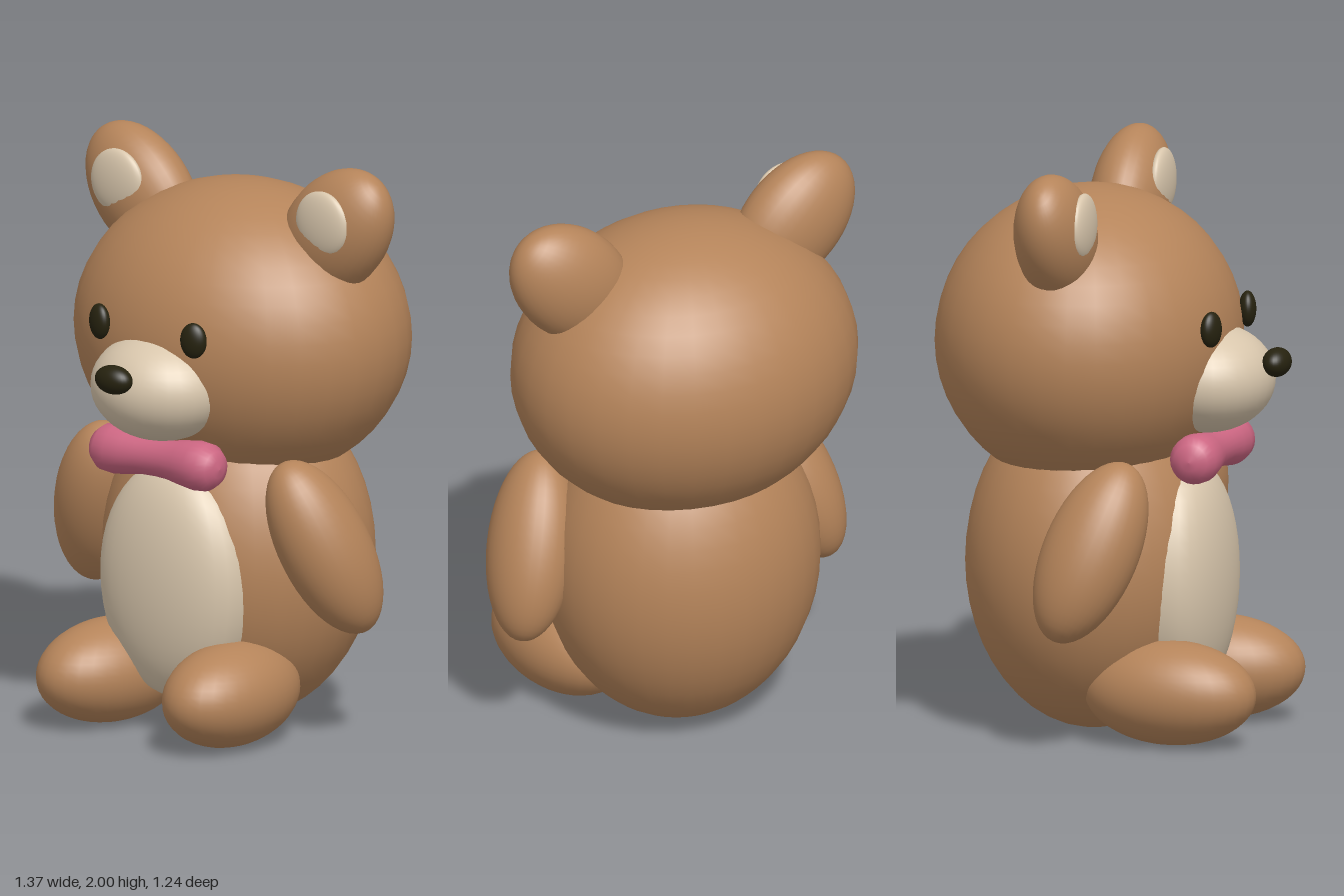
import * as THREE from 'three';

const mat = (name, color) => {
  const m = new THREE.MeshStandardMaterial({ color });
  m.name = name;
  return m;
};

export function createModel() {
  const bear = new THREE.Group();
  bear.name = 'teddyBear';
  const fur = mat('brownFur', 0xb5845a);
  const cream = mat('creamFur', 0xd8c6ac);
  const pink = mat('pinkBow', 0xcc6682);
  const dark = mat('darkBrown', 0x26220f);

  const sphere = new THREE.SphereGeometry(1, 32, 24);

  // Smooth ellipsoid part
  function blob(name, material, pos, radii, geometry = sphere) {
    const mesh = new THREE.Mesh(geometry, material);
    mesh.name = name;
    mesh.position.set(...pos);
    mesh.scale.set(...radii);
    bear.add(mesh);
    return mesh;
  }

  // Head and body
  blob('head', fur, [0, 1.36, -0.1], [0.62, 0.52, 0.52]);
  blob('body', fur, [0, 0.595, -0.08], [0.49, 0.59, 0.44]);

  // Belly panel: a sphere with its front and back flattened
  const bellyShape = sphere.clone();
  const p = bellyShape.attributes.position;
  for (let i = 0; i < p.count; i++) {
    const z = p.getZ(i);
    p.setZ(i, Math.sign(z) * Math.pow(Math.abs(z), 0.7));
  }
  bellyShape.computeVertexNormals();
  blob('belly', cream, [0, 0.54, 0.2], [0.315, 0.42, 0.21], bellyShape);

  // Muzzle and nose
  blob('muzzle', cream, [0, 1.235, 0.325], [0.25, 0.187, 0.23]);
  blob('nose', dark, [0, 1.3, 0.57], [0.075, 0.05, 0.048]);

  // Mirrored parts: s = 1 is the left side
  const up = new THREE.Vector3(0, 1, 0);
  for (const s of [1, -1]) {
    const side = s > 0 ? 'left' : 'right';

    const ear = blob(side + 'Ear', fur, [s * 0.44, 1.77, -0.085], [0.19, 0.27, 0.135]);
    ear.rotation.z = -s * Math.PI / 4;
    blob(side + 'InnerEar', cream, [s * 0.465, 1.82, 0.02], [0.115, 0.115, 0.036]);

    const eye = blob(side + 'Eye', dark, [s * 0.213, 1.44, 0.4], [0.048, 0.062, 0.03]);
    eye.rotation.y = s * 0.3;

    // Arms hang outward and back from the shoulder
    const arm = blob(side + 'Arm', fur, [s * 0.51, 0.7, 0.06], [0.15, 0.33, 0.165]);
    arm.quaternion.setFromUnitVectors(up, new THREE.Vector3(-s * 0.31, 0.9, 0.31).normalize());

    const leg = blob(side + 'Leg', fur, [s * 0.27, 0.185, 0.27], [0.19, 0.18, 0.31]);
    leg.rotation.y = s * 0.1;
  }

  // Bow: two lobes with a narrower middle, turned around the x axis
  const half = [[0, 0.066], [0.06, 0.068], [0.12, 0.078], [0.18, 0.086], [0.23, 0.082], [0.262, 0.06], [0.275, 0.03]];
  const profile = [new THREE.Vector2(0, -0.28)];
  for (const [x, r] of half.slice(1).reverse()) profile.push(new THREE.Vector2(r, -x));
  for (const [x, r] of half) profile.push(new THREE.Vector2(r, x));
  profile.push(new THREE.Vector2(0, 0.28));
  const bow = blob('bow', pink, [0, 0.985, 0.34], [1, 1, 1], new THREE.LatheGeometry(profile, 24));
  bow.rotation.z = Math.PI / 2;

  return bear;
}
